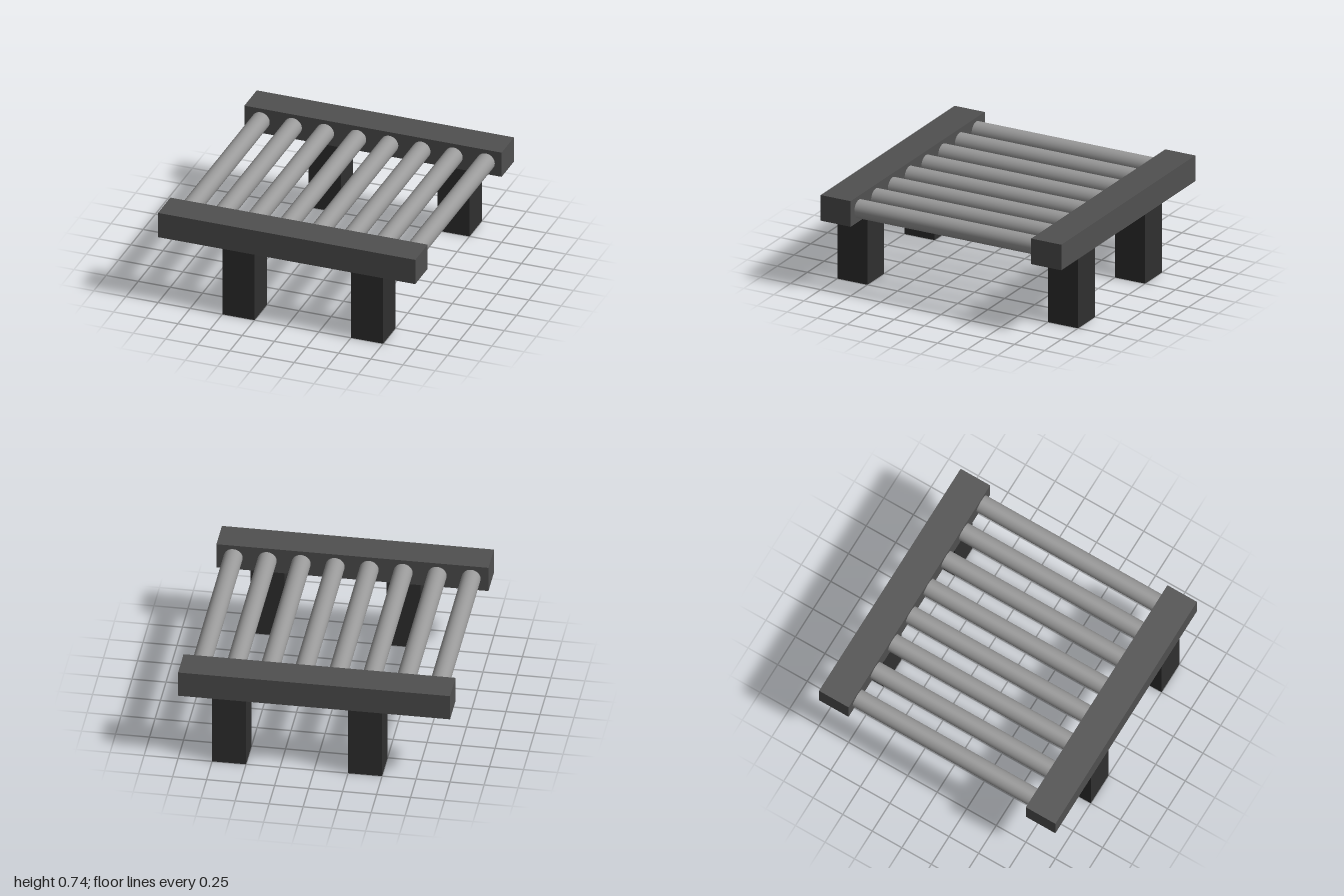
import * as THREE from 'three';

function material(name, color) {
  const m = new THREE.MeshStandardMaterial({ color });
  m.name = name;
  return m;
}

export function createModel() {
  const railGrey = material('rail grey', 0x505050);
  const legGrey = material('dark leg grey', 0x303030);
  const rollerGrey = material('roller grey', 0x999999);

  const model = new THREE.Group();
  model.name = 'rollerConveyor';

  function add(name, geometry, mat, x, y, z) {
    const mesh = new THREE.Mesh(geometry, mat);
    mesh.name = name;
    mesh.position.set(x, y, z);
    model.add(mesh);
  }

  const railGeometry = new THREE.BoxGeometry(2, 0.2, 0.25);
  const legGeometry = new THREE.BoxGeometry(0.25, 0.54, 0.25);
  const rollerGeometry = new THREE.CylinderGeometry(0.07, 0.07, 1.5, 32).rotateX(Math.PI / 2);

  // Front and back side rails, each on two legs
  for (const [side, z] of [['front', 0.875], ['back', -0.875]]) {
    add(side + 'Rail', railGeometry, railGrey, 0, 0.64, z);
    add(side + 'RightLeg', legGeometry, legGrey, -0.375, 0.27, z);
    add(side + 'LeftLeg', legGeometry, legGrey, 0.625, 0.27, z);
  }

  // Row of rollers between the rails
  for (let i = 0; i < 8; i++) {
    add('roller' + (i + 1), rollerGeometry, rollerGrey, -0.873 + i * 0.25, 0.64, 0);
  }

  return model;
}
